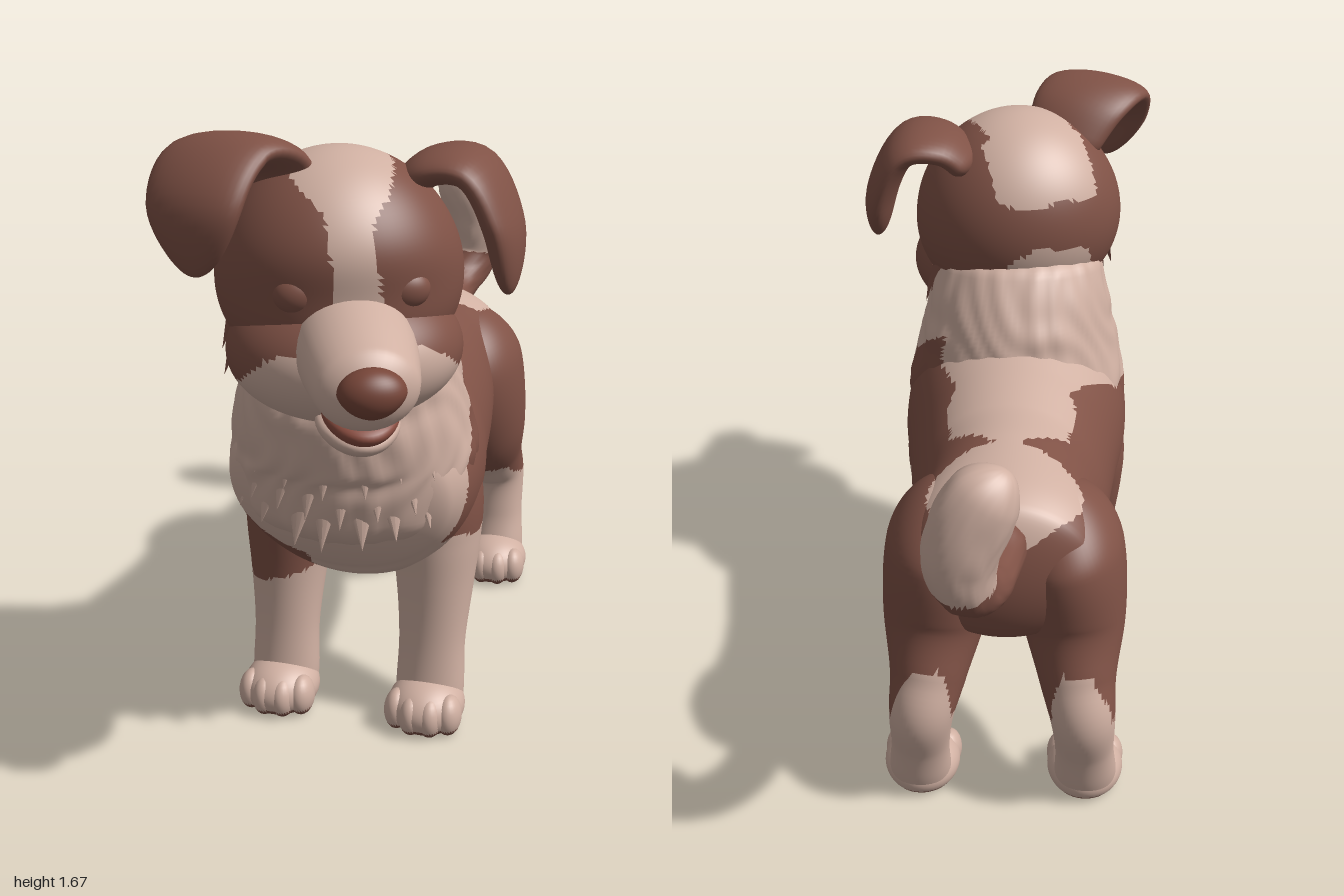
import * as THREE from 'three';
import { mergeVertices } from 'three/addons/utils/BufferGeometryUtils.js';

const V = (x, y, z) => new THREE.Vector3(x, y, z);
const MID = -0.035; // centre line of the trunk

const material = (name, color) => {
  const m = new THREE.MeshStandardMaterial({ color });
  m.name = name;
  return m;
};

// Tube with elliptical sections; each station is [x, y, z, halfWidth, halfDepth].
// Width runs along `side`; both ends are rounded over the fractions r0 and r1.
function loft(stations, { side = V(1, 0, 0), rows = 40, seg = 36, r0 = 0.1, r1 = 0.1, ruffle = 0 } = {}) {
  const path = new THREE.CatmullRomCurve3(stations.map(s => V(s[0], s[1], s[2])), false, 'catmullrom');
  const size = new THREE.CatmullRomCurve3(stations.map(s => V(s[3], s[4], 0)), false, 'catmullrom');
  const cap = u => (u >= 1 ? 1 : Math.sqrt(Math.max(0, 1 - (1 - u) ** 2)));
  const pos = [], idx = [];
  for (let i = 0; i <= rows; i++) {
    const t = (1 - Math.cos(Math.PI * i / rows)) / 2;
    const c = path.getPoint(t), w = size.getPoint(t), tan = path.getTangent(t);
    const s = side.clone().addScaledVector(tan, -side.dot(tan)).normalize();
    const o = tan.clone().cross(s);
    const k = Math.max(0.002, cap(t / r0) * cap((1 - t) / r1));
    for (let j = 0; j < seg; j++) {
      const a = j / seg * Math.PI * 2;
      const f = k * (1 + ruffle * Math.sin(13 * a + 3 * Math.sin(t * 9)) * Math.sin(t * 14 + 3 * Math.sin(a * 5)));
      const p = c.clone().addScaledVector(s, w.x * f * Math.cos(a)).addScaledVector(o, w.y * f * Math.sin(a));
      pos.push(p.x, p.y, p.z);
      if (i < rows) {
        const A = i * seg + j, B = i * seg + (j + 1) % seg;
        idx.push(A, B, B + seg, A, B + seg, A + seg);
      }
    }
  }
  const g = new THREE.BufferGeometry();
  g.setAttribute('position', new THREE.Float32BufferAttribute(pos, 3));
  g.setIndex(idx);
  g.computeVertexNormals();
  return g;
}

// Ellipsoid whose vertices can be moved by a rule
function blob(x, y, z, rx, ry, rz, rule, n = 24) {
  let g = new THREE.SphereGeometry(1, n * 2, n);
  const p = g.attributes.position, v = V(0, 0, 0);
  for (let i = 0; i < p.count; i++) {
    v.fromBufferAttribute(p, i);
    v.set(x + v.x * rx, y + v.y * ry, z + v.z * rz);
    if (rule) rule(v);
    p.setXYZ(i, v.x, v.y, v.z);
  }
  g.deleteAttribute('uv');
  g.deleteAttribute('normal');
  g = mergeVertices(g, 1e-5);
  g.computeVertexNormals();
  return g;
}

// Split the faces into two material groups: 0 cream, 1 brown
function patch(g, isBrown) {
  const p = g.attributes.position, ix = g.index.array, sets = [[], []];
  for (let i = 0; i < ix.length; i += 3) {
    const c = V(0, 0, 0);
    for (let k = 0; k < 3; k++) c.add(V(p.getX(ix[i + k]), p.getY(ix[i + k]), p.getZ(ix[i + k])));
    sets[isBrown(c.divideScalar(3)) ? 1 : 0].push(ix[i], ix[i + 1], ix[i + 2]);
  }
  g.setIndex([...sets[0], ...sets[1]]);
  g.addGroup(0, sets[0].length, 0);
  g.addGroup(sets[0].length, sets[1].length, 1);
  return g;
}

// Coat markings of trunk, neck and legs
function coat({ x, y, z }) {
  const dx = Math.abs(x - MID), n = 0.01 * Math.sin(z * 25 + y * 17);
  if (y > 0.85) { // pale saddle and rump spot
    if ((dx / 0.2) ** 2 + ((z + 0.47) / 0.15) ** 2 < 1) return false;
    const w = 0.17 * Math.min(1, Math.max(0, (z + 0.34) / 0.12)) + (x < MID ? 0.5 : 0.2) * Math.max(0, z);
    if (dx < w + n) return false;
  }
  if (z < -0.25) return y > 0.34 + 0.3 * Math.max(0, z + 0.64) + n && !(z < -0.645 && y < 0.5);
  if (x < -0.13 && z > 0.08 && z < 0.5 && y < 0.53 - 0.65 * (x + 0.13)) return y > 0.44 + 0.3 * (x + 0.13) + n; // dark right foreleg
  return y > 0.57 + n && z < 0.45 - 2.2 * Math.max(0, y - 0.7) ** 2 + n;
}

// Face mask, in head coordinates
function mask({ x, y, z }) {
  const n = 0.008 * Math.sin(x * 35 + y * 25);
  if (y < -0.27 + (z > 0 ? 1.8 : 3.2) * z * z + n) return false;
  if (z < -0.08) return y < 0.1 + n || Math.abs(x) > 0.15;
  const blaze = 0.055 + 0.9 * Math.max(0, y - 0.17) + 0.5 * Math.max(0, -0.02 - y);
  return Math.abs(x) > blaze + n;
}

export function createModel() {
  const dog = new THREE.Group();
  dog.name = 'puppy';
  const cream = material('cream fur', 0xd0b0a2), brown = material('brown fur', 0x805246);
  const noseMat = material('nose brown', 0x784639), tongueMat = material('mouth brown', 0x8a4d40);
  const coats = [cream, brown];
  const add = (name, g, m, parent = dog) => {
    const mesh = new THREE.Mesh(g, m);
    mesh.name = name;
    parent.add(mesh);
    return mesh;
  };

  // Trunk and neck
  add('trunk', patch(loft([
    [MID, 0.72, 0.60, 0.24, 0.19], [MID, 0.74, 0.45, 0.32, 0.27], [MID, 0.72, 0.25, 0.33, 0.33],
    [MID, 0.705, 0.05, 0.30, 0.325], [MID, 0.705, -0.15, 0.275, 0.305], [MID, 0.74, -0.33, 0.255, 0.28],
    [MID, 0.77, -0.5, 0.27, 0.235], [MID, 0.78, -0.635, 0.2, 0.17],
  ], { rows: 100, seg: 120, r0: 0.09, r1: 0.07 }), coat), coats);
  add('neck', patch(loft([
    [MID, 0.54, 0.36, 0.24, 0.19], [MID, 0.68, 0.365, 0.31, 0.265], [MID, 0.83, 0.365, 0.325, 0.295],
    [MID, 0.97, 0.385, 0.295, 0.305], [MID, 1.1, 0.405, 0.265, 0.275], [MID, 1.27, 0.44, 0.23, 0.19],
  ], { rows: 80, seg: 110, r0: 0.2, ruffle: 0.02 }), coat), coats);

  // Legs and paws, mirrored
  for (const s of [1, -1]) {
    const side = s > 0 ? 'left' : 'right', X = d => MID + s * d;
    add(side + 'HindLeg', patch(loft([
      [X(0.13), 0.95, -0.42, 0.13, 0.18], [X(0.165), 0.76, -0.43, 0.15, 0.21], [X(0.185), 0.57, -0.47, 0.14, 0.17],
      [X(0.2), 0.43, -0.555, 0.105, 0.115], [X(0.217), 0.33, -0.605, 0.088, 0.088], [X(0.225), 0.2, -0.585, 0.08, 0.066],
      [X(0.23), 0.1, -0.56, 0.085, 0.068], [X(0.23), 0.03, -0.535, 0.085, 0.07],
    ], { rows: 80, seg: 60, r0: 0.14, r1: 0.08 }), coat), coats);
    add(side + 'ForeLeg', patch(loft([
      [X(0.17), 0.82, 0.27, 0.12, 0.15], [X(0.2), 0.65, 0.275, 0.13, 0.16], [X(0.207), 0.52, 0.285, 0.122, 0.14],
      [X(0.21), 0.38, 0.305, 0.105, 0.11], [X(0.21), 0.23, 0.335, 0.092, 0.08], [X(0.21), 0.1, 0.355, 0.095, 0.075],
      [X(0.21), 0.03, 0.37, 0.09, 0.075],
    ], { rows: 80, seg: 60, r0: 0.12, r1: 0.08 }), coat), coats);
    for (const [name, x, z] of [['HindPaw', X(0.23), -0.505], ['ForePaw', X(0.21), 0.4]]) {
      const paw = new THREE.Group();
      paw.name = side + name;
      dog.add(paw);
      const flat = v => { v.y = Math.max(v.y, 0.006); };
      const sole = c => c.y < 0.027;
      add('foot', patch(blob(x, 0.06, z, 0.106, 0.08, 0.116, flat), sole), coats, paw);
      for (const [dx, dz] of [[-0.072, 0.045], [-0.026, 0.068], [0.026, 0.068], [0.072, 0.045]])
        add('toe', patch(blob(x + dx, 0.058, z + dz, 0.036, 0.058, 0.05, flat, 14), sole), coats, paw);
    }
  }

  // Tail with pale tip
  add('tail', patch(loft([
    [-0.03, 0.88, -0.54, 0.085, 0.085], [-0.02, 0.885, -0.68, 0.066, 0.062], [0.0, 0.91, -0.8, 0.066, 0.064],
    [0.035, 0.98, -0.885, 0.075, 0.072], [0.045, 1.08, -0.905, 0.09, 0.083], [0.005, 1.2, -0.9, 0.092, 0.08],
    [-0.06, 1.295, -0.885, 0.07, 0.058],
  ], { rows: 70, seg: 40, r1: 0.12, ruffle: 0.03 }), c => c.y < 0.99 + 0.3 * (c.z + 0.9)), coats);

  // Head, turned to its left
  const head = new THREE.Group();
  head.name = 'head';
  head.position.set(-0.03, 1.33, 0.49);
  head.rotation.y = 0.42;
  dog.add(head);
  add('skull', patch(blob(0, 0, 0, 0.305, 0.29, 0.28, v => {
    v.x *= 1 - 0.25 * v.y;
    if (v.z > 0) v.z *= 1 - 0.06 * Math.exp(-((v.y + 0.02) ** 2) / 0.006); // eye hollow
  }, 56), mask), coats, head);
  add('jaw', patch(blob(0, -0.185, 0.075, 0.29, 0.18, 0.25, null, 48), mask), coats, head);
  add('muzzle', loft([
    [0, -0.125, 0.13, 0.14, 0.13], [0, -0.145, 0.28, 0.142, 0.125], [0, -0.165, 0.41, 0.125, 0.106],
    [0, -0.17, 0.495, 0.1, 0.085],
  ], { r1: 0.25 }), cream, head);
  add('nose', blob(0, -0.155, 0.495, 0.078, 0.058, 0.055, v => { if (v.y < -0.155) v.x *= 1 + 3 * (v.y + 0.155); }), noseMat, head);
  add('mouth', blob(0, -0.288, 0.32, 0.09, 0.04, 0.125, v => { v.y += 2.5 * v.x * v.x; }), tongueMat, head);
  add('chin', blob(0, -0.325, 0.275, 0.1, 0.045, 0.135, v => { v.y += 2 * v.x * v.x; }), cream, head);
  for (const s of [1, -1]) add(s > 0 ? 'leftEyelid' : 'rightEyelid', blob(s * 0.125, -0.01, 0.205, 0.06, 0.05, 0.042), brown, head);

  // Folded ears
  add('leftEar', loft([
    [0.1, 1.49, 0.38, 0.1, 0.045], [0.18, 1.56, 0.38, 0.135, 0.045], [0.285, 1.555, 0.38, 0.15, 0.045],
    [0.355, 1.43, 0.395, 0.14, 0.045], [0.38, 1.265, 0.44, 0.1, 0.042],
  ], { side: V(0, 0, 1), r1: 0.25 }), brown);
  add('rightEar', loft([
    [-0.14, 1.48, 0.5, 0.1, 0.045], [-0.195, 1.6, 0.58, 0.135, 0.045], [-0.26, 1.625, 0.69, 0.148, 0.045],
    [-0.28, 1.53, 0.795, 0.135, 0.045], [-0.275, 1.37, 0.82, 0.095, 0.04],
  ], { side: V(0.94, 0.06, 0.3), r1: 0.25 }), brown);

  // Fur tufts: flattened cones lying along the coat, turned outward by `turn`
  let seed = 7;
  const rnd = () => (seed = seed * 16807 % 2147483647) / 2147483647;
  const tuftShape = new THREE.ConeGeometry(1, 1, 10).scale(1, 1, 0.4);
  const tuft = (name, at, turn, tilt, len, r, m, parent) => {
    const t = add(name, tuftShape, m, parent);
    t.position.copy(at);
    t.rotation.set(Math.PI - tilt, turn, 0, 'YXZ');
    t.scale.set(r, len, r);
  };
  for (let row = 0; row < 3; row++) for (let i = -3; i <= 3; i++) {
    const a = (i + 0.5 * (row % 2) + 0.4 * (rnd() - 0.5)) * 0.3;
    const y = 0.83 - row * 0.07 + 0.03 * rnd() + 0.05 * Math.abs(a);
    const at = V(MID + 0.3 * Math.sin(a), y, 0.365 + (0.275 - row * 0.006) * Math.cos(a));
    tuft('chestTuft', at, a, 0.3, 0.15 + 0.04 * rnd(), 0.05, cream);
  }
  for (const s of [1, -1]) for (let i = 0; i < 2; i++)
    tuft('cheekTuft', V(s * 0.275, -0.16 - i * 0.05, -0.04 + i * 0.05), s * 1.5, 0.3, 0.12, 0.04, brown, head);
  return dog;
}
